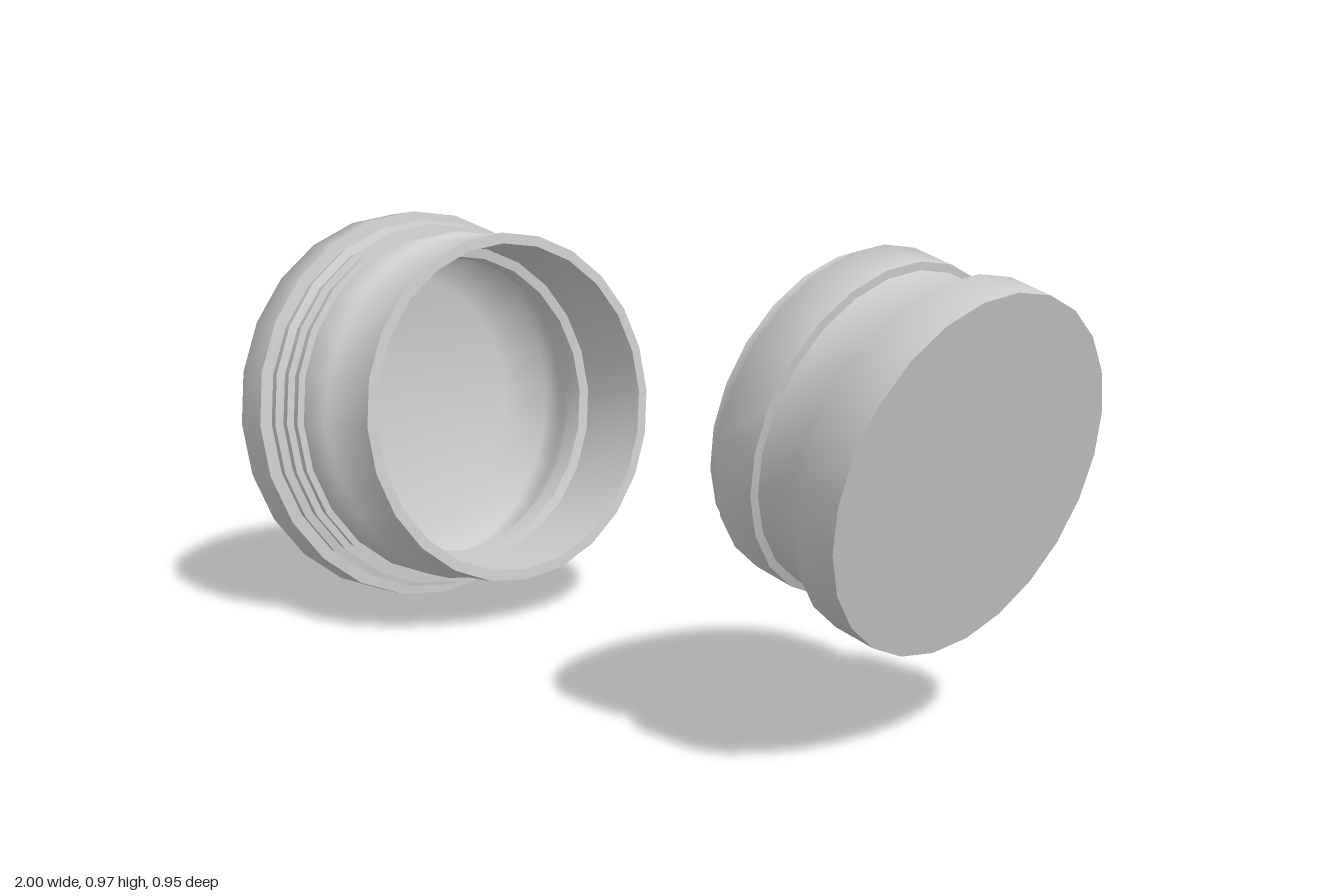
import * as THREE from 'three';
import { toCreasedNormals } from 'three/addons/utils/BufferGeometryUtils.js';

// Turned part: profile of [radius, distance along axis], axis laid along +x
function turned(name, profile, material) {
  const points = profile.map(([r, s]) => new THREE.Vector2(r, s));
  const lathe = new THREE.LatheGeometry(points, 24);
  const geometry = toCreasedNormals(lathe, THREE.MathUtils.degToRad(75));
  geometry.rotateZ(-Math.PI / 2);
  const mesh = new THREE.Mesh(geometry, material);
  mesh.name = name;
  return mesh;
}

export function createModel() {
  const group = new THREE.Group();
  group.name = 'cupAndPlug';
  const grey = new THREE.MeshStandardMaterial({ color: 0xcccccc });
  grey.name = 'light grey';

  // Sawtooth ridges stepping down from the flange to the sleeve
  const ridges = [];
  [[-0.355, 0.448], [-0.322, 0.436], [-0.292, 0.426]].forEach(([s, r]) => {
    ridges.push([r, s + 0.002], [r + 0.007, s + 0.03]);
  });

  // Hollow cup: closed outer end, flange, ridges, sleeve, open rim, inside
  const cup = turned('cup', [
    [0, -0.495], [0.327, -0.495], [0.474, -0.447], [0.477, -0.356],
    ...ridges,
    [0.417, -0.26], [0.42, -0.168], [0.411, -0.164], [0.411, 0],
    [0.386, 0], [0.386, -0.2], [0.362, -0.205], [0.362, -0.255],
    [0.39, -0.26], [0.39, -0.3], [0.42, -0.36], [0.42, -0.42],
    [0.32, -0.46], [0, -0.46],
  ], grey);
  cup.position.set(-0.475, 0.521, 0);
  cup.rotation.z = 0.0975;

  // Solid plug: inner face, collar, waist and flared outer end
  const plug = turned('plug', [
    [0, -0.362], [0.326, -0.362], [0.327, -0.335], [0.345, -0.328],
    [0.343, -0.232], [0.327, -0.229], [0.324, -0.145], [0.364, -0.095],
    [0.361, 0], [0, 0],
  ], grey);
  plug.position.set(0.912, 0.564, 0);
  plug.rotation.z = -0.246;

  group.add(cup, plug);
  return group;
}
